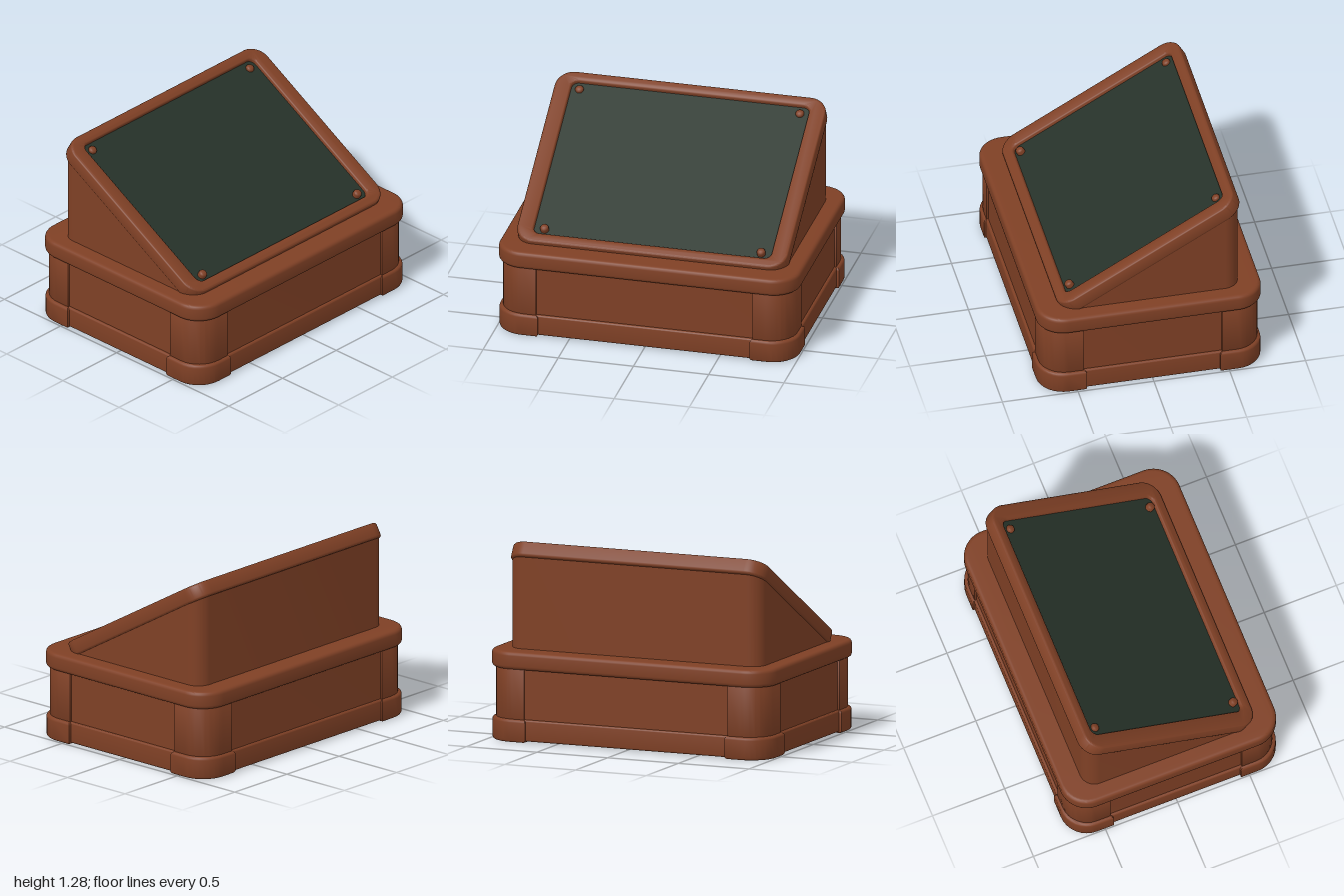
import * as THREE from 'three';
import { toCreasedNormals } from 'three/addons/utils/BufferGeometryUtils.js';

const wood = new THREE.MeshStandardMaterial({ color: 0x7f4025 });
wood.name = 'warm brown wood';
const slate = new THREE.MeshStandardMaterial({ color: 0x263229 });
slate.name = 'dark green slate';

const TILT = Math.PI / 6;

// Rounded rectangle centred on the origin, from half sizes and corner radius.
function roundRect(hx, hy, r, ShapeType = THREE.Shape) {
  const s = new ShapeType();
  s.moveTo(hx, -hy + r);
  s.lineTo(hx, hy - r);
  s.absarc(hx - r, hy - r, r, 0, Math.PI / 2);
  s.absarc(-hx + r, hy - r, r, Math.PI / 2, Math.PI);
  s.absarc(-hx + r, -hy + r, r, Math.PI, Math.PI * 1.5);
  s.absarc(hx - r, -hy + r, r, Math.PI * 1.5, Math.PI * 2);
  return s;
}

// Corner block outline: one big rounded outer corner, placed in quadrant sx, sy.
function cornerShape(sx, sy, x0, x1, y0, y1, r) {
  const s = new THREE.Shape();
  s.moveTo(sx * x0, sy * y0);
  s.lineTo(sx * x1, sy * y0);
  s.lineTo(sx * x1, sy * (y1 - r));
  for (let i = 1; i <= 8; i++) {
    const a = (i / 8) * Math.PI / 2;
    s.lineTo(sx * (x1 - r + r * Math.cos(a)), sy * (y1 - r + r * Math.sin(a)));
  }
  s.lineTo(sx * x0, sy * y1);
  s.closePath();
  return s;
}

// Extrude a plan shape upwards between y0 and y1 with softened edges.
function slab(shape, y0, y1, bevel) {
  const g = new THREE.ExtrudeGeometry(shape, {
    depth: y1 - y0 - 2 * bevel, curveSegments: 10,
    bevelEnabled: bevel > 0, bevelThickness: bevel, bevelSize: bevel,
    bevelOffset: -bevel, bevelSegments: 4,
  });
  g.rotateX(-Math.PI / 2);
  g.translate(0, y0 + bevel, 0);
  return toCreasedNormals(g, 0.6);
}

function add(parent, name, geometry, material) {
  const m = new THREE.Mesh(geometry, material);
  m.name = name;
  parent.add(m);
  return m;
}

export function createModel() {
  const model = new THREE.Group();
  model.name = 'slopedDeskBox';

  // Box base: skirting with a recessed floor, panelled walls and top slab.
  const base = new THREE.Group();
  base.name = 'base';
  model.add(base);
  const skirting = roundRect(0.98, 0.725, 0.17);
  skirting.holes.push(roundRect(0.92, 0.665, 0.1, THREE.Path));
  add(base, 'skirting', slab(skirting, 0.01, 0.15, 0.012), wood);
  add(base, 'floor', slab(roundRect(0.94, 0.68, 0.1), 0.02, 0.1, 0), wood);
  add(base, 'walls', slab(roundRect(0.962, 0.707, 0.16), 0.1, 0.5, 0), wood);
  add(base, 'topSlab', slab(roundRect(1, 0.74, 0.18), 0.475, 0.59, 0.025), wood);

  // Corner posts on feet, with a small pad beside each foot.
  for (const sx of [-1, 1]) {
    for (const sz of [-1, 1]) {
      const post = cornerShape(sx, sz, 0.72, 0.976, 0.455, 0.721, 0.17);
      add(base, 'cornerPost', slab(post, 0.13, 0.49, 0.008), wood);
      const foot = cornerShape(sx, sz, 0.705, 0.998, 0.44, 0.739, 0.18);
      add(base, 'cornerFoot', slab(foot, 0, 0.15, 0.02), wood);
      const pad = new THREE.CylinderGeometry(0.025, 0.025, 0.025, 16);
      add(base, 'floorPad', pad, wood).position.set(sx * 0.68, 0.0135, sz * 0.43);
    }
  }

  // Wedge: a vertical block whose top follows the slope.
  const wedge = slab(roundRect(0.892, 0.565, 0.1), 0, 1, 0);
  wedge.translate(0, 0, -0.03);
  const p = wedge.attributes.position;
  for (let i = 0; i < p.count; i++) {
    const top = 0.885 - Math.tan(TILT) * p.getZ(i);
    p.setY(i, p.getY(i) > 0.5 ? Math.max(top, 0.575) : 0.57);
  }
  add(model, 'wedge', toCreasedNormals(wedge, 0.6), wood);

  // Tilted frame; local y = 0 is its top face.
  const lid = new THREE.Group();
  lid.name = 'tiltedBoard';
  lid.position.set(0, 0.954, 0.02);
  lid.rotation.x = TILT;
  model.add(lid);
  const frame = roundRect(0.9, 0.675, 0.12);
  frame.holes.push(roundRect(0.79, 0.6, 0.045, THREE.Path));
  add(lid, 'frame', slab(frame, -0.103, 0, 0.018), wood);
  add(lid, 'writingBoard', slab(roundRect(0.82, 0.63, 0.05), -0.08, -0.027, 0), slate);

  // Domed pegs in the corners of the board.
  const pegProfile = [[0.028, -0.03], [0.028, 0], [0.022, 0.009], [0.012, 0.013], [0, 0.014]]
    .map(([x, y]) => new THREE.Vector2(x, y));
  for (const [x, z, y] of [[-0.735, -0.55, -0.018], [0.73, -0.55, -0.018],
    [-0.72, 0.558, -0.002], [0.72, 0.558, -0.002]]) {
    add(lid, 'peg', new THREE.LatheGeometry(pegProfile, 16), wood).position.set(x, y, z);
  }
  return model;
}
